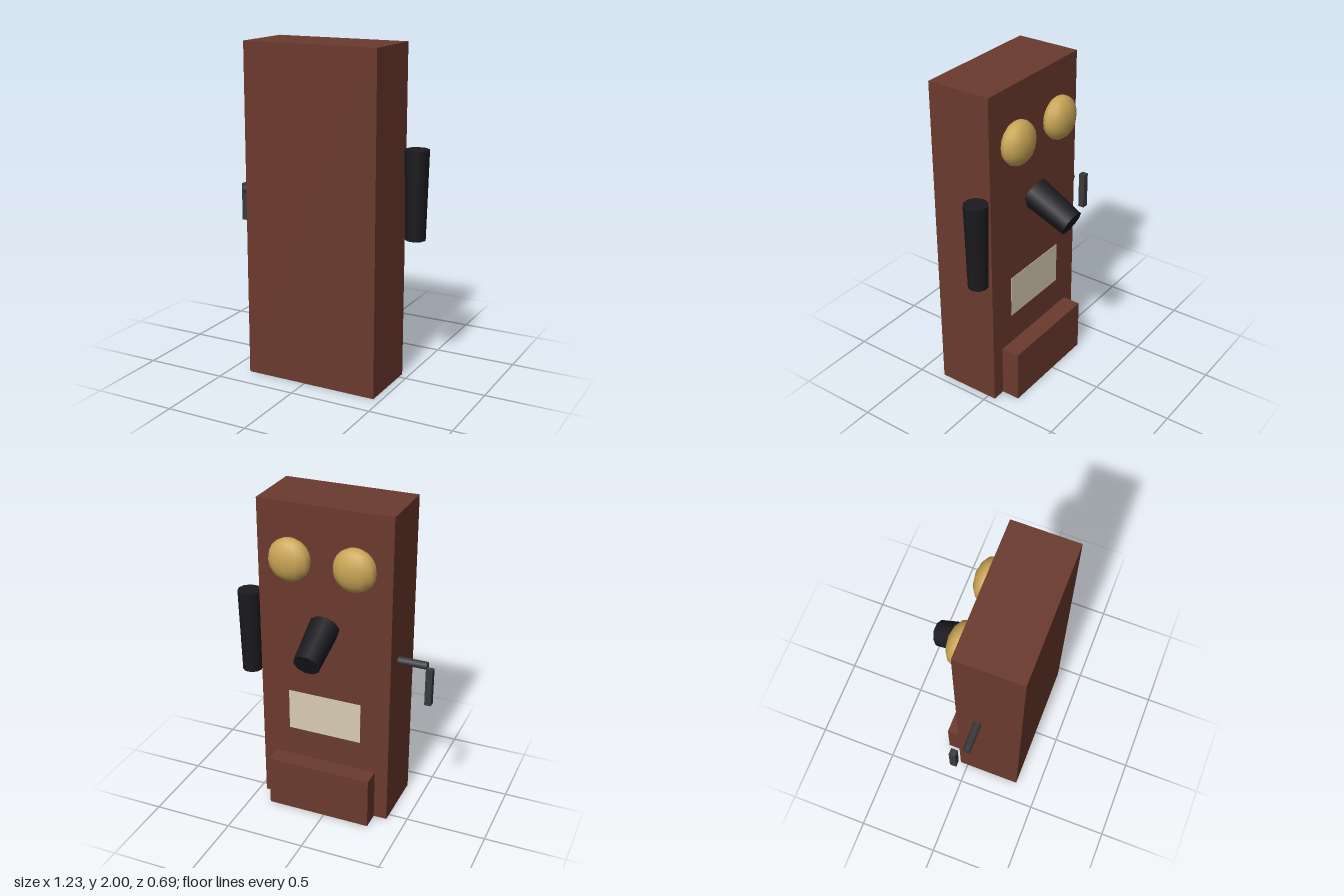
import * as THREE from 'three';

const mat = (color) => new THREE.MeshStandardMaterial({ color });

export function createModel() {
  const model = new THREE.Group();
  const wood = mat(0x6b3a2e), brass = mat(0xc9a555), black = mat(0x1a1a1f);
  const metal = mat(0x3a3a3c), paper = mat(0xd8ccb4);

  const add = (name, geometry, material, x, y, z) => {
    const mesh = new THREE.Mesh(geometry, material);
    mesh.name = name;
    mesh.position.set(x, y, z);
    model.add(mesh);
    return mesh;
  };
  const box = (w, h, d) => new THREE.BoxGeometry(w, h, d);
  // Ten-sided taper with corners at left and right
  const taper = (top, bottom, length) =>
    new THREE.CylinderGeometry(top, bottom, length, 10, 1, false, Math.PI / 2);

  // Wall cabinet with the battery box low on its back face
  add('cabinet', box(0.834, 2, 0.4), wood, 0.038, 1, 0.15);
  add('lowerBox', box(0.665, 0.33, 0.12), wood, 0.038, 0.165, -0.105);

  // Pair of flattened bells
  for (const side of [-1, 1]) {
    const bell = add(side < 0 ? 'rightBell' : 'leftBell',
      new THREE.SphereGeometry(0.132, 12, 10), brass, 0.038 + side * 0.2, 1.67, -0.085);
    bell.scale.z = 0.6;
  }

  // Mouthpiece tilted down and away from the cabinet
  const base = new THREE.Vector3(0.038, 1.265, -0.047);
  const tip = new THREE.Vector3(0.038, 1.14, -0.31);
  const axis = tip.clone().sub(base);
  const middle = base.clone().add(tip).multiplyScalar(0.5);
  const mouthpiece = add('mouthpiece', taper(0.081, 0.095, axis.length()), black,
    middle.x, middle.y, middle.z);
  mouthpiece.rotation.x = Math.atan2(axis.z, axis.y);

  // Card on the face below the mouthpiece
  add('card', box(0.47, 0.265, 0.006), paper, 0.04, 0.655, -0.05);

  // Receiver hanging beside the cabinet
  add('receiver', taper(0.0735, 0.061, 0.53), black, 0.538, 1.135, -0.015);

  // Crank shaft and its hanging handle
  const shaft = add('crankShaft', new THREE.CylinderGeometry(0.024, 0.024, 0.2, 10), metal,
    -0.46, 1.068, 0.083);
  shaft.rotation.z = Math.PI / 2;
  add('crankHandle', box(0.04, 0.232, 0.04), metal, -0.595, 0.97, 0.017);

  return model;
}
